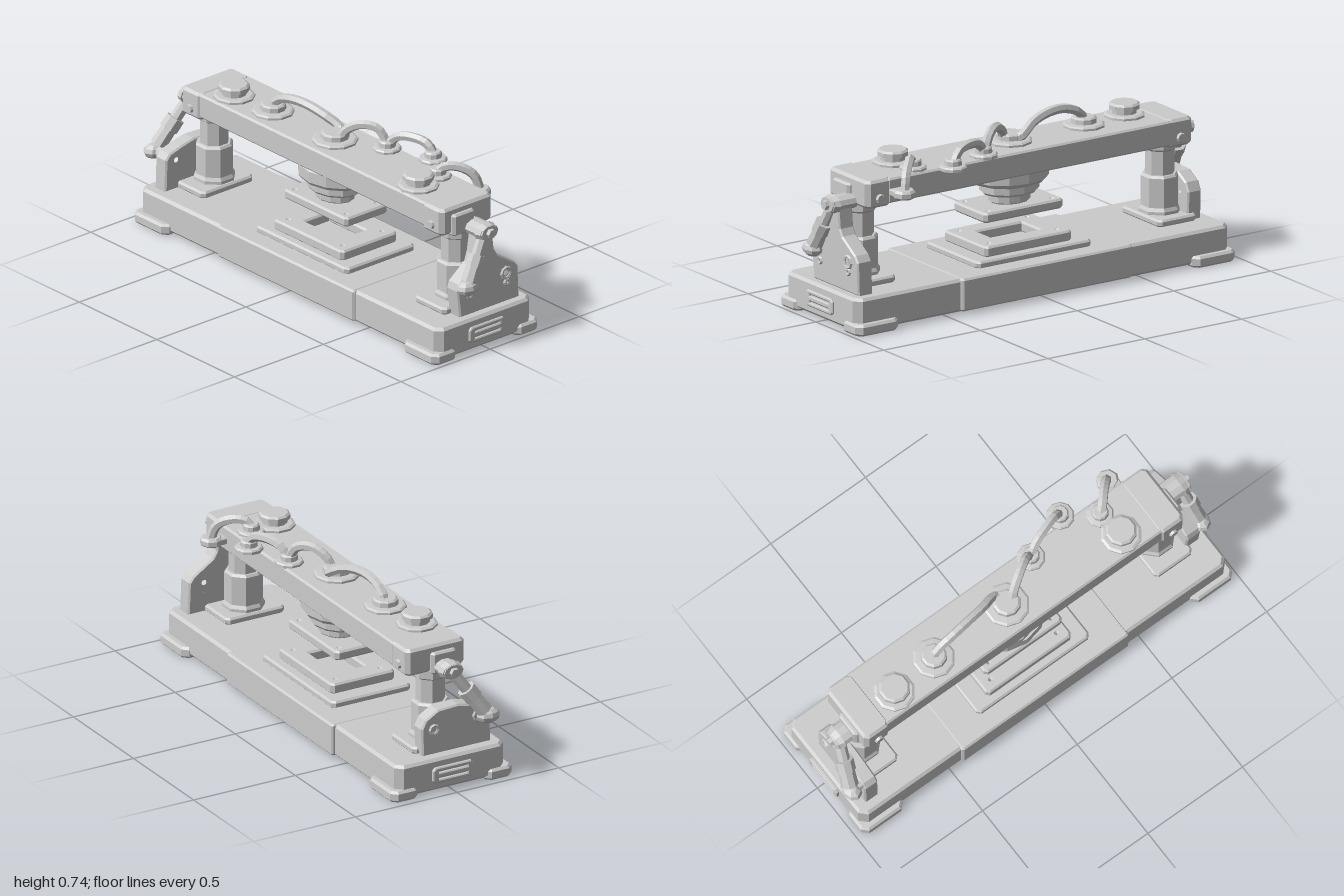
import * as THREE from 'three';

const mat = new THREE.MeshStandardMaterial({ color: 0xcccccc, flatShading: true });
const V = (x, y, z) => new THREE.Vector3(x, y, z);

function add(parent, name, geo) {
  const m = new THREE.Mesh(geo, mat);
  m.name = name;
  parent.add(m);
  return m;
}

// Rectangle outline with cut corners
function rect(w, d, c, Type = THREE.Shape) {
  const a = w / 2, b = d / 2, s = new Type();
  [[-a + c, -b], [a - c, -b], [a, -b + c], [a, b - c], [a - c, b], [-a + c, b], [-a, b - c], [-a, -b + c]]
    .forEach(([x, y], i) => (i ? s.lineTo(x, y) : s.moveTo(x, y)));
  s.closePath();
  return s;
}

function circleHole(x, y, r) {
  return new THREE.Path().absarc(x, y, r, 0, Math.PI * 2, true);
}

// Chamfered block given by its limits; holes are cut vertically
function block(parent, name, x0, x1, y0, y1, z0, z1, bevel = 0.01, corner = bevel, holes = []) {
  const s = rect(x1 - x0 - 2 * bevel, z1 - z0 - 2 * bevel, corner);
  s.holes.push(...holes);
  const g = new THREE.ExtrudeGeometry(s, {
    depth: y1 - y0 - 2 * bevel, bevelSize: bevel, bevelThickness: bevel, bevelSegments: 1, curveSegments: 3,
  });
  g.rotateX(-Math.PI / 2).translate((x0 + x1) / 2, y0 + bevel, (z0 + z1) / 2);
  return add(parent, name, g);
}

// Stepped round part from [radius, height] pairs
function turned(parent, name, pts, sides, x, y, z) {
  const g = new THREE.LatheGeometry(pts.map(([r, h]) => new THREE.Vector2(r, h)), sides);
  const m = add(parent, name, g);
  m.position.set(x, y, z);
  return m;
}

// Cylinder between two points
function rod(parent, name, a, b, r, r2 = r, sides = 8) {
  const d = b.clone().sub(a);
  const m = add(parent, name, new THREE.CylinderGeometry(r2, r, d.length(), sides));
  m.position.copy(a).addScaledVector(d, 0.5);
  m.quaternion.setFromUnitVectors(V(0, 1, 0), d.normalize());
  return m;
}

// Side plate: outline in (z, y), extruded along x, with two holes
function bracket(parent, name, pts, x0, x1, holes) {
  const s = new THREE.Shape(pts.map(([z, y]) => new THREE.Vector2(z, y)));
  holes.forEach(([z, y, r]) => s.holes.push(circleHole(z, y, r)));
  const b = 0.007;
  const g = new THREE.ExtrudeGeometry(s, {
    depth: x1 - x0 - 2 * b, bevelSize: b, bevelThickness: b, bevelOffset: -b, bevelSegments: 1, curveSegments: 4,
  });
  g.rotateY(-Math.PI / 2).translate(x1 - b, 0, 0);
  add(parent, name, g);
  holes.forEach(([z, y, r]) => {
    const t = add(parent, name + 'HoleRim', new THREE.TorusGeometry(r + 0.005, 0.008, 5, 8));
    t.rotation.y = Math.PI / 2;
    t.position.set(x0 < 0 ? x0 : x1, y, z);
  });
}

// Damper with a bolted joint above and a rounded joint below
function damper(parent, side, top, bottom) {
  const g = new THREE.Group();
  g.name = 'damper';
  const at = t => top.clone().lerp(bottom, t);
  rod(g, 'damperRod', at(0), at(0.9), 0.027);
  rod(g, 'damperSleeve', at(0.48), at(0.9), 0.034, 0.038);
  rod(g, 'damperCollar', at(0.42), at(0.62), 0.042, 0.042);
  const ax = (p, a) => V(p.x + side * a, p.y, p.z);
  const joint = rod(g, 'upperJoint', ax(top, -0.09), ax(top, 0.03), 0.034, 0.034, 10);
  joint.scale.set(1, 1, 1.5);
  const cap = rod(g, 'upperJointCap', ax(top, 0.0), ax(top, 0.035), 0.042, 0.032, 10);
  cap.scale.z = 1.4;
  rod(g, 'jointBolt', ax(top, 0.03), ax(top, 0.052), 0.022, 0.02, 6);
  const ball = add(g, 'lowerJoint', new THREE.SphereGeometry(0.044, 8, 6));
  ball.scale.set(0.95, 0.78, 1.25);
  ball.position.copy(bottom);
  rod(g, 'lowerJointPin', ax(bottom, -0.07), bottom, 0.026);
  parent.add(g);
}

function hose(parent, pts) {
  const c = new THREE.CatmullRomCurve3(pts.map(p => V(...p)));
  add(parent, 'hose', new THREE.TubeGeometry(c, 12, 0.021, 6));
}

export function createModel() {
  const model = new THREE.Group();

  // Base with a wider middle band, corner feet and end vents
  const base = new THREE.Group();
  base.name = 'base';
  model.add(base);
  block(base, 'baseBody', -0.96, 0.975, 0.012, 0.157, -0.268, 0.268, 0.012, 0.025);
  block(base, 'baseBand', -0.44, 0.44, 0.016, 0.16, -0.284, 0.28, 0.008, 0.004);
  for (const sx of [-1, 1]) {
    const cx = sx * 0.87 + 0.007;
    for (const sz of [-1, 1])
      block(base, 'foot', cx - 0.11, cx + 0.11, 0, 0.05, sz * 0.23 - 0.068, sz * 0.23 + 0.068, 0.01, 0.02);
    const s = rect(0.19, 0.062, 0.01);
    for (const y of [-0.015, 0.015]) {
      const h = rect(0.15, 0.017, 0.001, THREE.Path);
      h.curves.reverse();
      s.holes.push(new THREE.Path(rect(0.15, 0.017, 0.001).getPoints().map(p => p.setY(p.y + y))));
    }
    const g = new THREE.ExtrudeGeometry(s, { depth: 0.014, bevelSize: 0.005, bevelThickness: 0.004, bevelSegments: 1 });
    const v = add(base, 'endVent', g);
    v.rotation.y = sx * Math.PI / 2;
    v.position.set(sx * 0.962 + 0.006, 0.084, 0);
  }

  // Lower work plate: two tiers with a recessed window and corner holes
  const corners = (w, d, r) => [[-w, -d], [w, -d], [w, d], [-w, d]].map(([x, y]) => circleHole(x, y, r));
  block(model, 'lowerPlate', -0.295, 0.3, 0.155, 0.188, -0.195, 0.195, 0.008, 0.012);
  block(model, 'lowerFrame', -0.22, 0.23, 0.185, 0.233, -0.155, 0.16, 0.008, 0.01,
    [rect(0.25, 0.15, 0.005, THREE.Path), ...corners(0.175, 0.11, 0.012)]);

  // Press head hanging from the beam
  turned(model, 'pressHead', [[0, 0], [0.085, 0], [0.095, 0.01], [0.095, 0.042], [0.125, 0.046], [0.135, 0.056],
    [0.135, 0.085], [0.165, 0.095], [0.178, 0.11], [0.178, 0.16]], 12, 0, 0.363, 0).scale.z = 0.82;
  block(model, 'pressPlate', -0.2, 0.21, 0.325, 0.368, -0.12, 0.12, 0.008, 0.01, corners(0.165, 0.085, 0.012));

  // Beam and its end caps
  block(model, 'beam', -0.74, 0.74, 0.515, 0.625, -0.156, 0.128, 0.008, 0.008);
  for (const sx of [-1, 1]) {
    const cx = sx * 0.777;
    block(model, 'beamCap', cx - 0.066, cx + 0.066, 0.505, 0.628, -0.155, 0.135, 0.012, 0.012);
    block(model, 'capPanel', cx + sx * 0.05 - 0.035, cx + sx * 0.05 + 0.035, 0.498, 0.596, -0.04, 0.083, 0.008, 0.008);
    rod(model, 'capBolt', V(cx, 0.545, 0.12), V(cx, 0.545, 0.147), 0.024, 0.018, 8);
    rod(model, 'capBolt', V(cx, 0.545, -0.15), V(cx, 0.545, -0.166), 0.024, 0.018, 8);

    // Column on its foot plate
    block(model, 'columnFoot', cx - 0.1, cx + 0.1, 0.155, 0.187, -0.14, 0.15, 0.008, 0.012);
    turned(model, 'column', [[0.092, 0], [0.092, 0.03], [0.083, 0.045], [0.083, 0.175], [0.074, 0.185], [0.064, 0.185],
      [0.064, 0.29], [0.078, 0.3], [0.078, 0.345]], 8, cx, 0.17, 0).rotation.y = Math.PI / 8;
  }

  // Tall bracket on one end, low rounded bracket on the other
  bracket(model, 'tallBracket', [[0.11, 0.155], [-0.222, 0.155], [-0.216, 0.3], [-0.195, 0.328], [-0.1, 0.39],
    [-0.082, 0.42], [-0.07, 0.52], [0.0, 0.52], [0.015, 0.42], [0.03, 0.375], [0.115, 0.31], [0.125, 0.28]],
  0.86, 0.935, [[-0.145, 0.29, 0.02], [0.06, 0.247, 0.006], [-0.148, 0.247, 0.006]]);
  bracket(model, 'lowBracket', [[0.22, 0.155], [-0.115, 0.155], [-0.12, 0.28], [-0.1, 0.32], [-0.04, 0.355],
    [0.06, 0.36], [0.13, 0.345], [0.195, 0.325], [0.215, 0.3]],
  -0.91, -0.84, [[0.16, 0.29, 0.02], [-0.06, 0.27, 0.014]]);
  damper(model, 1, V(0.93, 0.52, -0.03), V(0.955, 0.297, 0.088));
  damper(model, -1, V(-0.905, 0.53, 0.02), V(-0.955, 0.302, 0.18));

  // Knobs on the beam
  for (const [x, z] of [[-0.615, 0.03], [0.578, 0.035]])
    turned(model, 'knob', [[0.09, 0], [0.09, 0.012], [0.078, 0.018], [0.055, 0.018], [0.055, 0.034], [0.068, 0.038],
      [0.068, 0.056], [0.058, 0.064], [0, 0.064]], 10, x, 0.622, z);

  // Hose sockets: wide, medium and small flanges
  const socket = (x, y, z, r) => turned(model, 'hoseSocket', [[0, 0], [r, 0], [r, 0.012], [r * 0.9, 0.018],
    [r * 0.62, 0.02], [r * 0.6, 0.04], [r * 0.5, 0.046], [0, 0.046]], 10, x, y, z);
  socket(-0.39, 0.622, 0.008, 0.092);
  socket(0, 0.622, 0, 0.1);
  socket(0.21, 0.622, -0.11, 0.062);
  socket(0.42, 0.622, -0.185, 0.062);
  socket(0.56, 0.622, -0.09, 0.06);
  turned(model, 'rearSocket', [[0, 0], [0.04, 0], [0.05, 0.008], [0.05, 0.028], [0.04, 0.038], [0, 0.038]],
    8, 0.69, 0.547, -0.21);
  block(model, 'rearSocketMount', 0.65, 0.73, 0.55, 0.58, -0.2, -0.14, 0.005);

  // Hoses looping along the beam
  hose(model, [[-0.39, 0.64, 0.008], [-0.37, 0.685, 0.005], [-0.29, 0.72, 0.002], [-0.2, 0.724, -0.01],
    [-0.1, 0.7, -0.03], [-0.03, 0.66, -0.055], [0, 0.64, -0.04]]);
  hose(model, [[0.03, 0.64, 0], [0.055, 0.69, -0.02], [0.11, 0.722, -0.055], [0.17, 0.71, -0.095], [0.21, 0.64, -0.115]]);
  hose(model, [[0.21, 0.64, -0.11], [0.25, 0.69, -0.13], [0.32, 0.705, -0.155], [0.39, 0.69, -0.18], [0.425, 0.64, -0.19]]);
  hose(model, [[0.56, 0.64, -0.085], [0.58, 0.672, -0.1], [0.625, 0.675, -0.15], [0.67, 0.64, -0.195], [0.69, 0.565, -0.215]]);

  return model;
}
